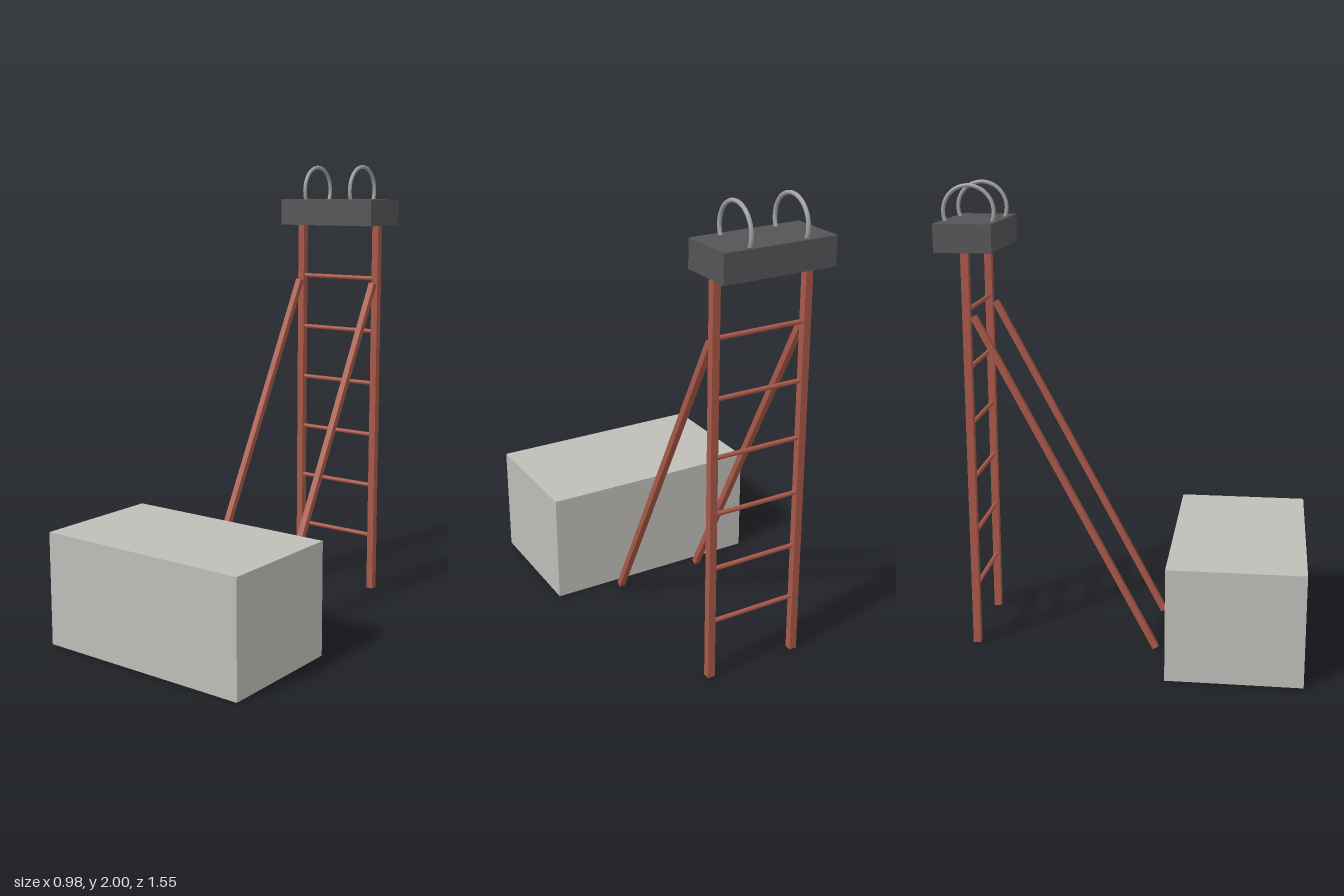
import * as THREE from 'three';

export function createModel() {
  const model = new THREE.Group();
  model.name = 'ladderStand';

  const red = new THREE.MeshStandardMaterial({ color: 0xa85848 });
  const dark = new THREE.MeshStandardMaterial({ color: 0x555557 });
  const stone = new THREE.MeshStandardMaterial({ color: 0xbfbdb8 });
  const steel = new THREE.MeshStandardMaterial({ color: 0xa0a0a0 });

  const add = (name, geometry, material, x, y, z) => {
    const mesh = new THREE.Mesh(geometry, material);
    mesh.name = name;
    mesh.position.set(x, y, z);
    model.add(mesh);
    return mesh;
  };

  const ladderZ = -0.655;

  // Solid block standing in front
  add('block', new THREE.BoxGeometry(0.98, 0.49, 0.573), stone, 0, 0.245, 0.49);

  // Platform on top of the ladder
  add('platform', new THREE.BoxGeometry(0.49, 0.118, 0.243), dark, 0, 1.786, ladderZ);

  // Sloping brace ends, in the y-z plane
  const foot = new THREE.Vector3(0, 0.014, 0.14);
  const head = new THREE.Vector3(0, 1.462, -0.627);
  const slope = head.clone().sub(foot);
  const middle = head.clone().add(foot).multiplyScalar(0.5);

  for (const side of [-1, 1]) {
    const label = side > 0 ? 'left' : 'right';

    // Upright post
    add(label + 'Post', new THREE.BoxGeometry(0.032, 1.73, 0.032), red, side * 0.205, 0.865, ladderZ);

    // Brace leaning from the ground to the post
    const brace = add(label + 'Brace', new THREE.BoxGeometry(0.027, slope.length(), 0.027), red,
      side * 0.203, middle.y, middle.z);
    brace.rotation.x = Math.atan2(slope.z, slope.y);

    // Grab hoop, sunk into the platform
    const hoop = add(label + 'Hoop', new THREE.TorusGeometry(0.107, 0.0085, 12, 48), steel,
      side * 0.1225, 1.8845, ladderZ);
    hoop.rotation.y = Math.PI / 2;
  }

  // Rungs
  for (let i = 0; i < 6; i++) {
    const rung = add('rung' + (i + 1), new THREE.CylinderGeometry(0.0098, 0.0098, 0.444, 12), red,
      0, 0.26 + i * 0.245, ladderZ);
    rung.rotation.z = Math.PI / 2;
  }

  return model;
}
